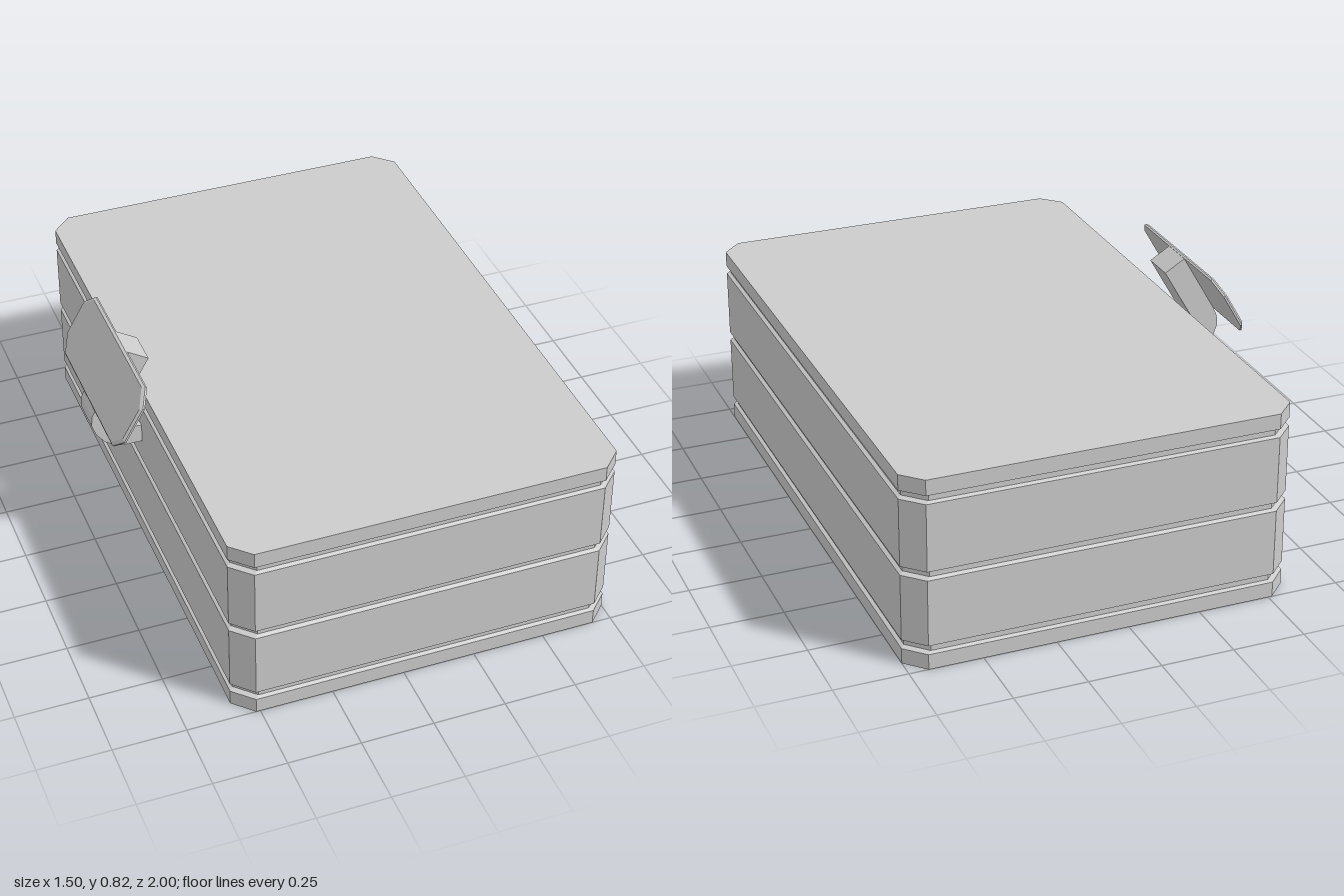
import * as THREE from 'three';

const material = new THREE.MeshStandardMaterial({ color: 0xcccccc, flatShading: true });

// Solid from stacked chamfered rectangles; each ring is [y, inset].
function chamferedStack(halfX, halfZ, chamfer, rings, capBottom = true, capTop = true) {
  const corners = ([y, d]) => {
    const x = halfX - d, z = halfZ - d, c = chamfer;
    return [[x, z - c], [x - c, z], [c - x, z], [-x, z - c], [-x, c - z], [c - x, -z], [x - c, -z], [x, c - z]]
      .map(([px, pz]) => [px, y, pz]);
  };
  const loops = rings.map(corners);
  const pos = [];
  const tri = (a, b, c) => pos.push(...a, ...b, ...c);
  for (let r = 0; r < loops.length - 1; r++) {
    const lo = loops[r], hi = loops[r + 1];
    for (let i = 0; i < 8; i++) {
      const j = (i + 1) % 8;
      tri(lo[i], hi[j], lo[j]);
      tri(lo[i], hi[i], hi[j]);
    }
  }
  const first = loops[0], last = loops[loops.length - 1];
  for (let i = 1; i < 7; i++) {
    if (capBottom) tri(first[0], first[i], first[i + 1]);
    if (capTop) tri(last[0], last[i + 1], last[i]);
  }
  const geometry = new THREE.BufferGeometry();
  geometry.setAttribute('position', new THREE.Float32BufferAttribute(pos, 3));
  geometry.computeVertexNormals();
  return geometry;
}

function addMesh(parent, name, geometry) {
  const mesh = new THREE.Mesh(geometry, material);
  mesh.name = name;
  parent.add(mesh);
  return mesh;
}

export function createModel() {
  const model = new THREE.Group();
  model.name = 'latchedCase';

  // Case: four panels stacked with shallow grooves between them
  const body = new THREE.Group();
  body.name = 'caseBody';
  body.position.x = 0.085;
  model.add(body);
  const g = 0.012;
  const panels = [
    ['basePanel', [[0, 0], [0.054, 0], [0.06, g], [0.078, g]]],
    ['lowerPanel', [[0.078, g], [0.085, 0], [0.318, 0], [0.325, g], [0.342, g]]],
    ['upperPanel', [[0.342, g], [0.349, 0], [0.584, 0], [0.59, g], [0.608, g]]],
    ['lidPanel', [[0.608, g], [0.614, 0], [0.668, 0]]],
  ];
  panels.forEach(([name, rings], i) =>
    addMesh(body, name, chamferedStack(0.665, 1, 0.066, rings, i === 0, i === 3)));

  // Latch on the right side: a bent arm carrying a slanted plate
  const latch = new THREE.Group();
  latch.name = 'latch';
  model.add(latch);

  const outline = [
    [-0.57, 0.435], [-0.648, 0.436], [-0.678, 0.445], [-0.71, 0.467], [-0.738, 0.503], [-0.753, 0.545],
    [-0.75, 0.58], [-0.735, 0.612], [-0.616, 0.817], [-0.545, 0.774], [-0.655, 0.585],
    [-0.665, 0.56], [-0.66, 0.535], [-0.644, 0.514], [-0.62, 0.506], [-0.57, 0.502],
  ].map(([x, y]) => new THREE.Vector2(x, y));
  const armGeometry = new THREE.ExtrudeGeometry(new THREE.Shape(outline), { depth: 0.124, bevelEnabled: false });
  addMesh(latch, 'latchArm', armGeometry.translate(0, 0, -0.062));

  // Plate with a bevelled outer rim, tilted to lie on the arm
  const plate = addMesh(latch, 'latchPlate',
    chamferedStack(0.12, 0.322, 0.052, [[0, 0], [0.007, 0], [0.014, 0.008]]));
  plate.position.set(-0.676, 0.714, 0);
  plate.rotation.z = Math.PI / 3;

  return model;
}
